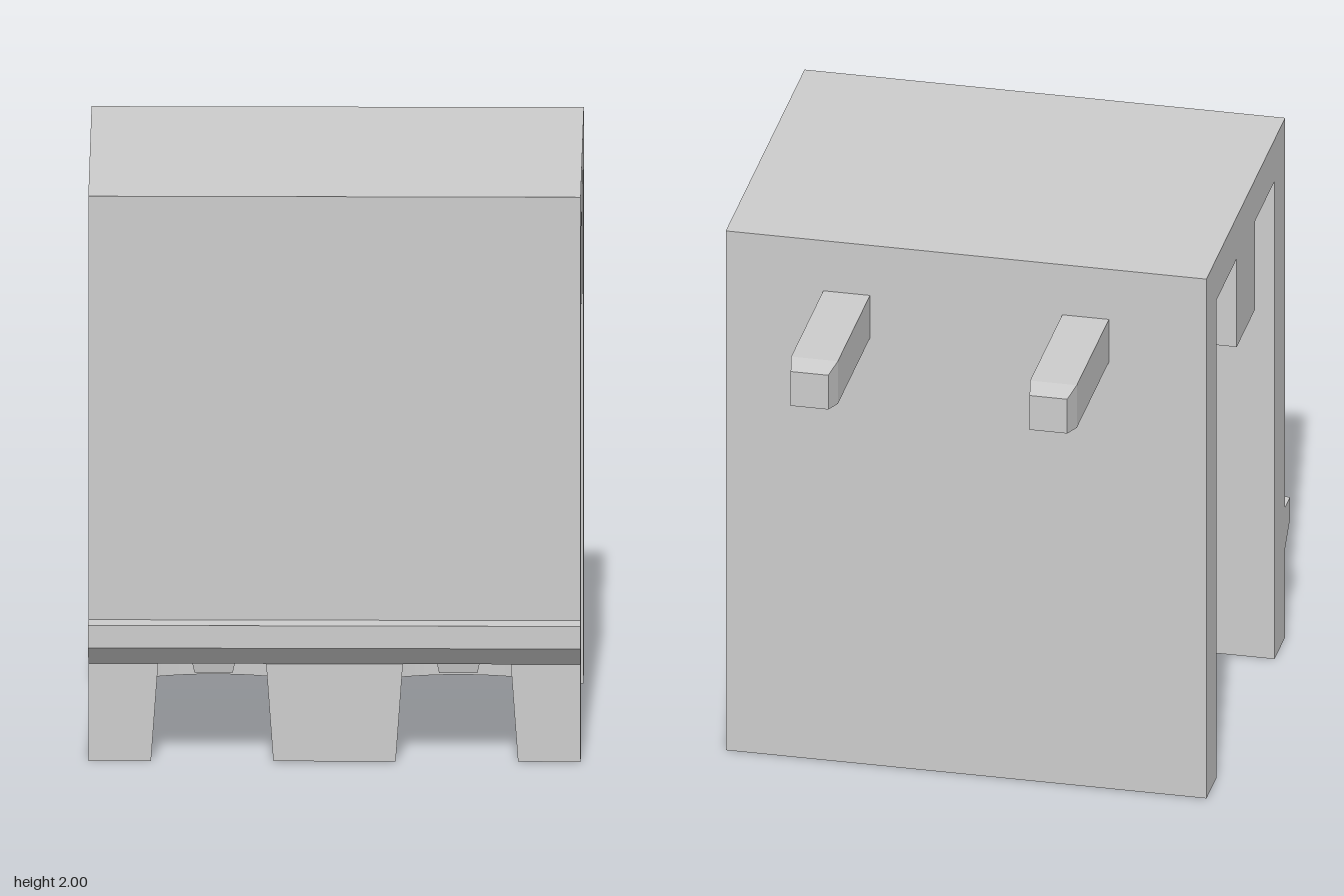
import * as THREE from 'three';

const W = 1.69, X = W / 2;          // housing width and half width
const PIN_X = 0.42, PIN_Z = 0.25;   // pin positions
const FRONT = 0.88, FRONT_IN = 0.71, BACK = -0.37, BACK_IN = -0.21;

export function createModel() {
  const group = new THREE.Group();
  const grey = new THREE.MeshStandardMaterial({ color: 0xcccccc });
  const flat = new THREE.MeshStandardMaterial({ color: 0xcccccc, flatShading: true });

  function add(name, geometry, material = grey) {
    const mesh = new THREE.Mesh(geometry, material);
    mesh.name = name;
    group.add(mesh);
  }
  function box(name, x0, x1, y0, y1, z0, z1) {
    add(name, new THREE.BoxGeometry(x1 - x0, y1 - y0, z1 - z0)
      .translate((x0 + x1) / 2, (y0 + y1) / 2, (z0 + z1) / 2));
  }
  const polygon = (pts) => new THREE.Shape(pts.map(([a, b]) => new THREE.Vector2(a, b)));
  const extrude = (shape, depth) =>
    new THREE.ExtrudeGeometry(shape, { depth, bevelEnabled: false, curveSegments: 12 });

  // Roof, and the block hanging under it with its four corners notched out
  box('roof', -X, X, 1.84, 2, BACK, FRONT);
  box('innerBlock', -0.57, 0.57, 1.5, 1.84, BACK_IN, FRONT_IN);
  for (const s of [-1, 1]) {
    const [a, b] = s > 0 ? [0.57, X] : [-X, -0.57];
    box('sideRib', a, b, 1.5, 1.84, 0.11, 0.4);
  }

  // Front wall with two tapered notches at its foot
  const notch = (c) => [[c - 0.21, 0], [c - 0.185, 0.35], [c + 0.185, 0.35], [c + 0.21, 0]];
  const front = polygon([[-X, 0], ...notch(-PIN_X), ...notch(PIN_X), [X, 0], [X, 1.84], [-X, 1.84]]);
  add('frontWall', extrude(front, FRONT - FRONT_IN).translate(0, 0, FRONT_IN));

  // Latch ledge across the front
  const ledge = polygon([[FRONT, 0.345], [0.96, 0.42], [0.96, 0.5], [FRONT, 0.5]]);
  add('latchLedge', extrude(ledge, W).rotateY(-Math.PI / 2).translate(X, 0, 0));

  // Back wall, hollowed around each pin below the block (plan drawn with -z up)
  const half = 0.35, reach = PIN_Z - BACK_IN;
  const radius = Math.hypot(half, reach), turn = Math.atan2(reach, half);
  const plan = new THREE.Shape();
  plan.moveTo(-X, -BACK_IN);
  for (const c of [-PIN_X, PIN_X]) {
    plan.lineTo(c - half, -BACK_IN);
    plan.absarc(c, -PIN_Z, radius, Math.PI - turn, turn, true);
  }
  plan.lineTo(X, -BACK_IN);
  plan.lineTo(X, -BACK);
  plan.lineTo(-X, -BACK);
  add('backWall', extrude(plan, 1.5).rotateX(-Math.PI / 2));
  box('backWallTop', -X, X, 1.5, 1.84, BACK, BACK_IN);

  // Square pin with a tapered tip at the origin, running up +y
  function pin(length) {
    const points = [[0, 0], [0.066, 0], [0.082, 0.08], [0.082, length], [0, length]]
      .map(([r, y]) => new THREE.Vector2(r * Math.SQRT2, y));
    return new THREE.LatheGeometry(points, 4, Math.PI / 4);
  }
  for (const x of [-PIN_X, PIN_X]) {
    add('pinCollar', new THREE.CylinderGeometry(0.2, 0.2, 0.33, 32).translate(x, 1.335, PIN_Z));
    add('contactPin', pin(1.01).translate(x, 0.17, PIN_Z), flat);
    add('rearPin', pin(0.59).rotateX(Math.PI / 2).translate(x, 1.725, -0.96), flat);
  }
  return group;
}
